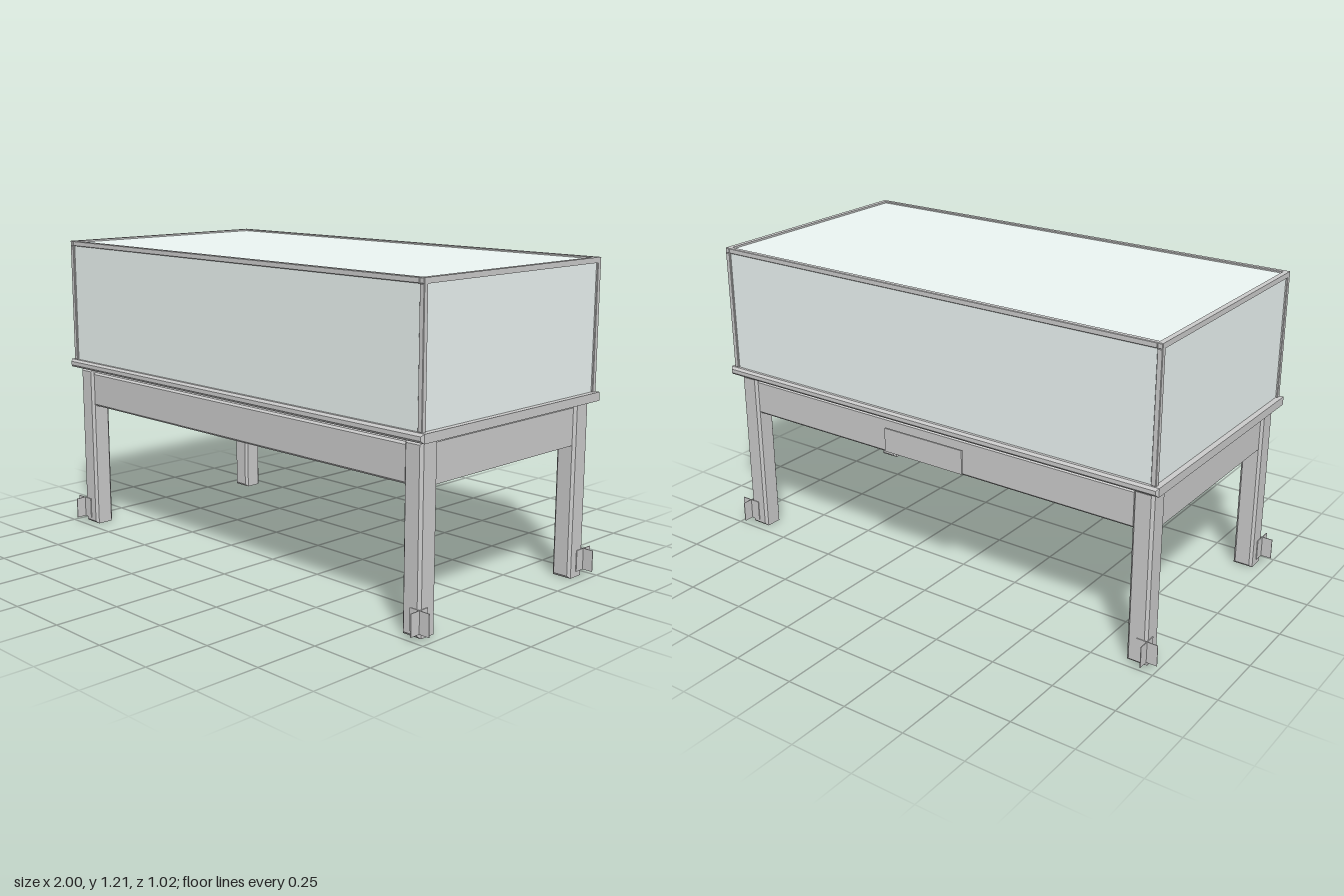
import * as THREE from 'three';

const wood = new THREE.MeshStandardMaterial({ color: 0xcccccc });
const glass = new THREE.MeshStandardMaterial({ color: 0xecf5f3 });

// Box with every edge chamfered by c, centred on its own origin
function chamferBox(w, h, d, c) {
  const x = w / 2 - c, y = h / 2 - c;
  const shape = new THREE.Shape([
    new THREE.Vector2(-x, -y), new THREE.Vector2(x, -y),
    new THREE.Vector2(x, y), new THREE.Vector2(-x, y),
  ]);
  const geometry = new THREE.ExtrudeGeometry(shape, {
    depth: d - 2 * c, bevelEnabled: true, bevelSegments: 1, bevelSize: c, bevelThickness: c,
  });
  return geometry.translate(0, 0, -(d / 2 - c));
}

export function createModel() {
  const model = new THREE.Group();
  model.name = 'displayTable';

  function add(name, geometry, x, y, z, material = wood) {
    const mesh = new THREE.Mesh(geometry, material);
    mesh.name = name;
    mesh.position.set(x, y, z);
    model.add(mesh);
  }

  // Table: solid apron and the moulded top
  add('apron', chamferBox(1.89, 0.143, 0.916, 0.008), 0, 0.5875, 0);
  add('tableTop', chamferBox(1.97, 0.033, 1.0, 0.009), 0, 0.6925, 0);
  add('backPlate', new THREE.BoxGeometry(0.36, 0.095, 0.007), 0, 0.588, -0.491);

  // Legs, each with two thin plates crossing at the outer corner of the foot
  for (const sx of [-1, 1]) {
    for (const sz of [-1, 1]) {
      add('leg', chamferBox(0.08, 0.672, 0.083, 0.01), sx * 0.915, 0.336, sz * 0.4265);
      add('footPlateAlongX', new THREE.BoxGeometry(0.085, 0.083, 0.003), sx * 0.9575, 0.0625, sz * 0.4695);
      add('footPlateAlongZ', new THREE.BoxGeometry(0.003, 0.083, 0.085), sx * 0.9565, 0.0625, sz * 0.4695);
    }
  }

  // Case frame: corner posts and top rails
  const W = 0.97, D = 0.487, top = 1.206, base = 0.709, bar = 0.02;
  for (const sx of [-1, 1]) {
    for (const sz of [-1, 1]) {
      add('casePost', chamferBox(bar, top - base - bar, bar, 0.002),
        sx * (W - bar / 2), (top - bar + base) / 2, sz * (D - bar / 2));
    }
    add('sideRail', chamferBox(bar, bar, 2 * D, 0.002), sx * (W - bar / 2), top - bar / 2, 0);
    add('longRail', chamferBox(2 * W - 2 * bar, bar, bar, 0.002), 0, top - bar / 2, sx * (D - bar / 2));
  }

  // Glass panes, set a little behind the frame
  const t = 0.006, inset = 0.01, paneH = top - bar - base + 0.004;
  const paneY = base + paneH / 2 - 0.002;
  for (const s of [-1, 1]) {
    add('longPane', new THREE.BoxGeometry(2 * (W - bar), paneH, t), 0, paneY, s * (D - inset), glass);
    add('sidePane', new THREE.BoxGeometry(t, paneH, 2 * (D - bar)), s * (W - inset), paneY, 0, glass);
  }
  add('topPane', new THREE.BoxGeometry(2 * (W - bar), t, 2 * (D - bar)), 0, top - inset, 0, glass);

  return model;
}
